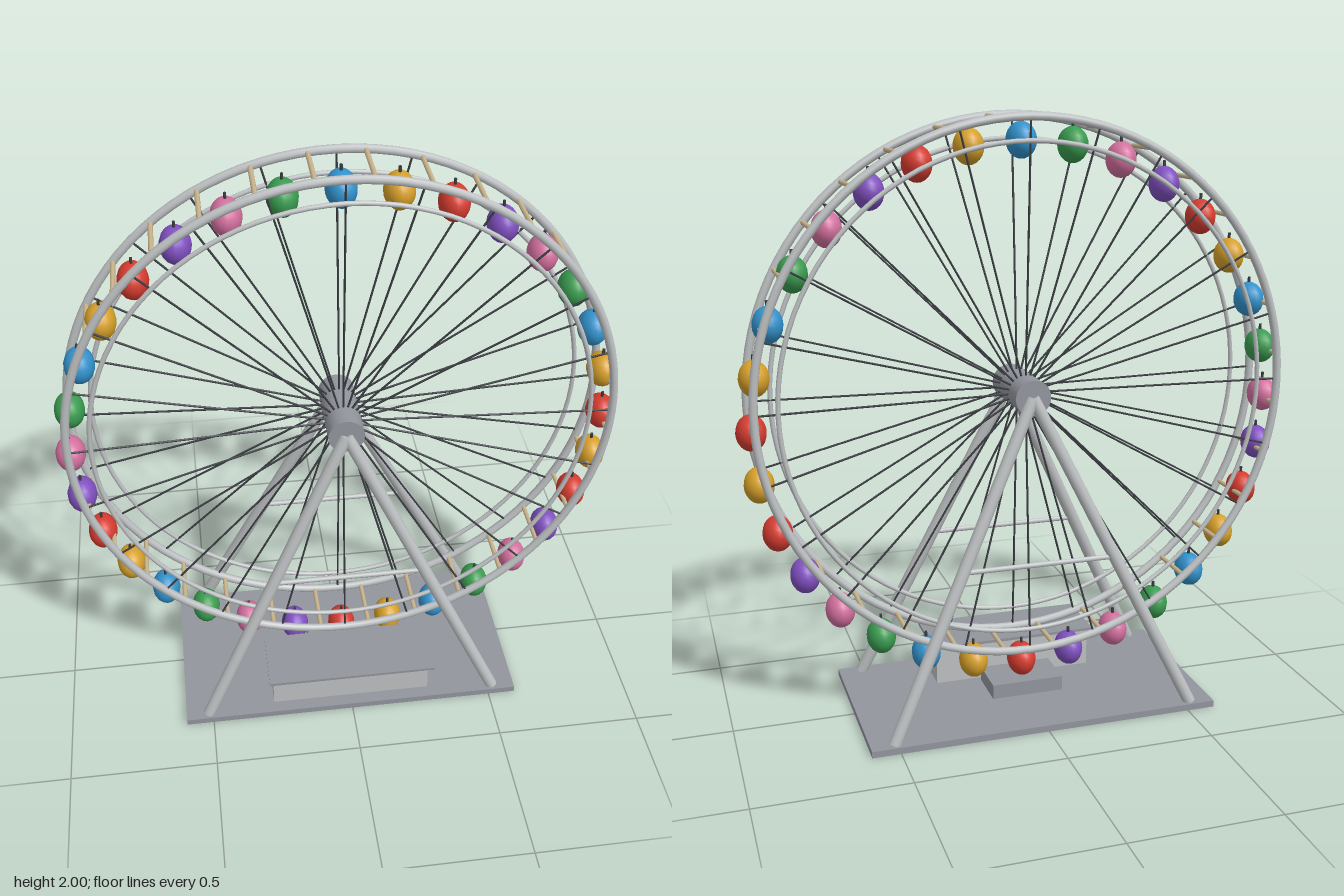
import * as THREE from 'three';

const mat = (name, color, flatShading = false) => {
  const m = new THREE.MeshStandardMaterial({ color, flatShading });
  m.name = name;
  return m;
};
const steel = mat('steel', 0xbcbfc1);
const grey = mat('platformGrey', 0x92959d);
const cable = mat('darkCable', 0x3a3d42);
const tan = mat('tanBar', 0xcbb78f);
const cabinMats = [
  mat('red', 0xd63c30), mat('yellow', 0xd6a02a), mat('blue', 0x3292cc),
  mat('green', 0x3a9c50), mat('pink', 0xd4709f), mat('purple', 0x8050c0),
];

const V = (x, y, z) => new THREE.Vector3(x, y, z);

function add(parent, name, geometry, material, x = 0, y = 0, z = 0) {
  const mesh = new THREE.Mesh(geometry, material);
  mesh.name = name;
  mesh.position.set(x, y, z);
  parent.add(mesh);
  return mesh;
}

// Straight round bar between two points
function bar(parent, name, a, b, radius, material, sides = 8) {
  const mesh = add(parent, name, new THREE.CylinderGeometry(radius, radius, a.distanceTo(b), sides), material);
  mesh.position.copy(a).lerp(b, 0.5);
  mesh.quaternion.setFromUnitVectors(V(0, 1, 0), b.clone().sub(a).normalize());
  return mesh;
}

const HUB_Y = 1.093, RIM = 0.89, INNER = 0.815, RIM_Z = 0.103;

function buildWheel() {
  const wheel = new THREE.Group();
  wheel.name = 'wheel';
  wheel.position.y = HUB_Y;

  for (const s of [-1, 1]) {
    add(wheel, 'outerRim', new THREE.TorusGeometry(RIM, 0.014, 10, 96), steel, 0, 0, s * RIM_Z);
    add(wheel, 'innerRim', new THREE.TorusGeometry(INNER, 0.008, 8, 96), steel, 0, 0, s * RIM_Z);
    // Spokes spread from the hub out to each rim
    for (let i = 0; i < 24; i++) {
      const a = (i / 24) * Math.PI * 2, c = Math.cos(a), n = Math.sin(a);
      bar(wheel, 'spoke', V(c * 0.04, n * 0.04, s * 0.05), V(c * RIM, n * RIM, s * RIM_Z), 0.0035, cable, 6);
    }
  }

  // Bars joining the two rims
  for (let i = 0; i < 32; i++) {
    const a = ((i + 0.5) / 32) * Math.PI * 2, x = Math.cos(a) * RIM, y = Math.sin(a) * RIM;
    bar(wheel, 'rimCrossbar', V(x, y, -RIM_Z), V(x, y, RIM_Z), 0.008, tan);
  }

  // Hub
  bar(wheel, 'hub', V(0, 0, -0.135), V(0, 0, 0.135), 0.06, grey, 24);
  return wheel;
}

// Cabins stay upright below their pivots on the rim
function buildCabins() {
  const cabins = new THREE.Group();
  cabins.name = 'cabins';
  const shell = new THREE.SphereGeometry(1, 16, 12);
  shell.scale(0.049, 0.059, 0.063);
  for (let i = 0; i < 32; i++) {
    const a = (i / 32) * Math.PI * 2;
    const x = Math.cos(a) * RIM, y = HUB_Y + Math.sin(a) * RIM;
    add(cabins, 'cabin', shell, cabinMats[i % 6], x, y - 0.077, 0);
    bar(cabins, 'cabinHanger', V(x, y - 0.025, 0), V(x, y, 0), 0.005, cable, 6);
  }
  return cabins;
}

function buildSupport() {
  const support = new THREE.Group();
  support.name = 'support';
  for (const s of [-1, 1]) {
    for (const side of [-1, 1]) {
      bar(support, 'leg', V(side * 0.515, 0.02, s * 0.288), V(0, HUB_Y, s * 0.13), 0.021, steel, 12);
    }
    bar(support, 'legBrace', V(-0.26, 0.55, s * 0.21), V(0.26, 0.55, s * 0.21), 0.009, steel);
  }
  return support;
}

export function createModel() {
  const model = new THREE.Group();
  model.name = 'ferrisWheel';
  model.add(buildWheel(), buildCabins(), buildSupport());

  // Ground slab, boarding step and ticket booth with its roof
  add(model, 'base', new THREE.BoxGeometry(1.19, 0.022, 0.63), grey, 0, 0.011, 0);
  add(model, 'boardingStep', new THREE.BoxGeometry(0.25, 0.05, 0.155), grey, 0, 0.047, 0);
  add(model, 'booth', new THREE.BoxGeometry(0.56, 0.135, 0.17), steel, 0, 0.0895, 0.185);
  add(model, 'boothRoof', new THREE.BoxGeometry(0.59, 0.01, 0.23), grey, 0, 0.161, 0.2);
  return model;
}
